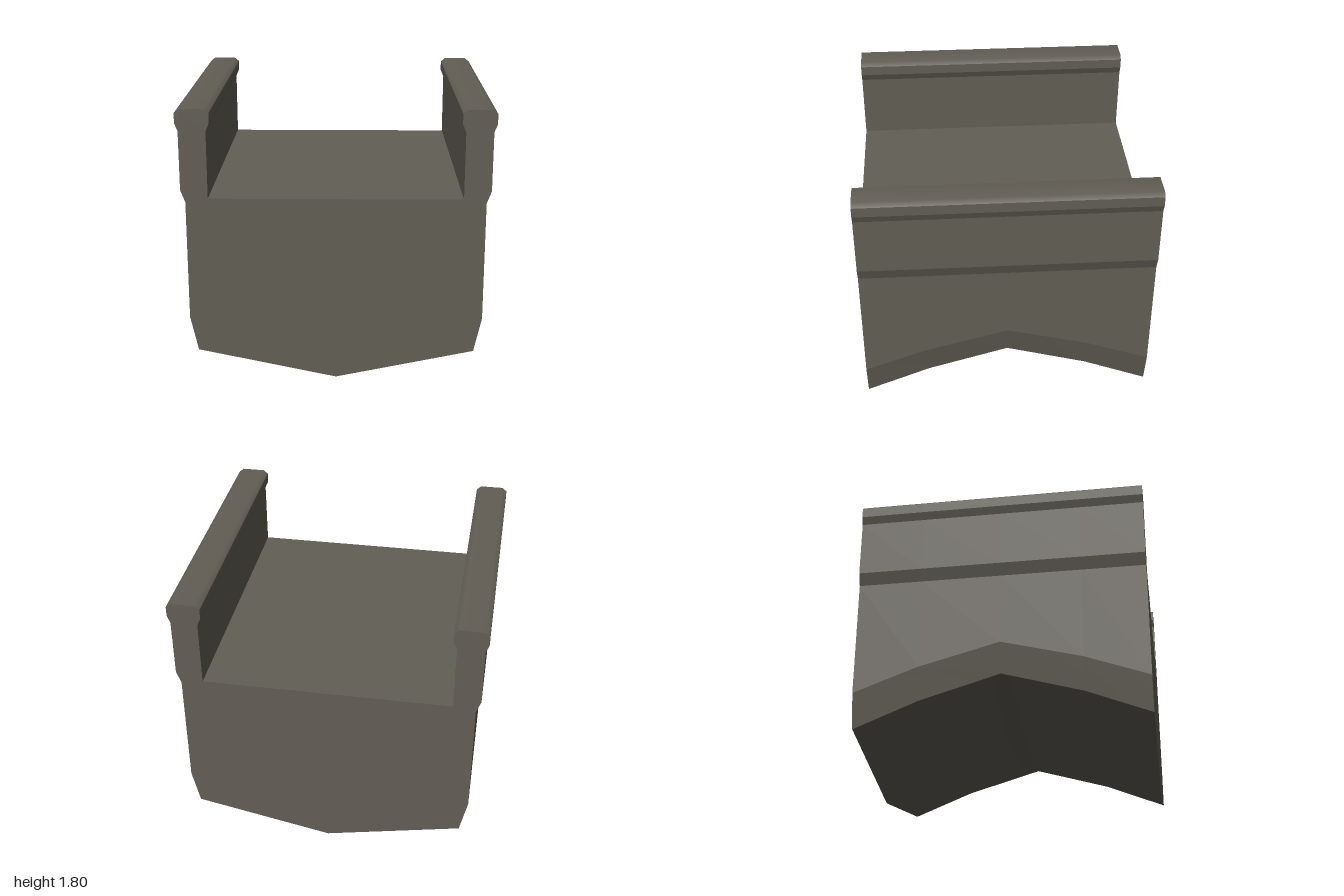
import * as THREE from 'three';

const stone = new THREE.MeshStandardMaterial({ color: 0x625e55 });
stone.name = 'weathered stone';

// Stations along the length: [z, rise of the arched underside]
const stations = [[0.95, 0], [0.53, 0.17], [0, 0.325], [-0.53, 0.17], [-0.95, 0]];

// Half cross-section from keel to deck: [x, y, share of the arch rise]
const half = [
  [0, 0, 1], [0.9, 0.19, 1], [0.95, 0.42, 0.91], [0.95, 1.2, 0], [0.98, 1.28, 0],
  [0.98, 1.66, 0], [1, 1.71, 0], [1, 1.775, 0], [0.97, 1.8, 0], [0.815, 1.8, 0],
  [0.785, 1.775, 0], [0.785, 1.71, 0], [0.807, 1.66, 0], [0.807, 1.225, 0],
];
const mirror = (pts) => pts.map(([x, y, r]) => [-x, y, r]).reverse();

// Sweep an open run of section points through all stations
function strip(pts) {
  const pos = [], idx = [], n = pts.length;
  for (const [z, rise] of stations)
    for (const [x, y, r] of pts) pos.push(x, y + r * rise, z);
  for (let s = 0; s < stations.length - 1; s++)
    for (let i = 0; i < n - 1; i++) {
      const a = s * n + i, b = a + n;
      idx.push(a, b, a + 1, a + 1, b, b + 1);
    }
  const g = new THREE.BufferGeometry();
  g.setAttribute('position', new THREE.Float32BufferAttribute(pos, 3));
  g.setIndex(idx);
  g.computeVertexNormals();
  return g;
}

export function createModel() {
  const model = new THREE.Group();
  model.name = 'bridgeSegment';
  const add = (name, geometry) => {
    const mesh = new THREE.Mesh(geometry, stone);
    mesh.name = name;
    model.add(mesh);
    return mesh;
  };

  // Faces of each side: [name, first point, last point]; the rail top is rounded
  const faces = [
    ['ArchUnderside', 0, 1], ['LowerSkirt', 1, 2], ['Wall', 2, 3], ['Ledge', 3, 4],
    ['ParapetOuter', 4, 5], ['RailOuterFlare', 5, 6], ['RailOuterSide', 6, 7],
    ['RailTop', 7, 10], ['RailInnerSide', 10, 11], ['RailInnerFlare', 11, 12],
    ['ParapetInner', 12, 13],
  ];
  for (const [name, from, to] of faces) {
    const pts = half.slice(from, to + 1);
    add('left' + name, strip(pts));
    add('right' + name, strip(mirror(pts)));
  }

  // Road deck between the parapets
  const edge = half[half.length - 1];
  add('deck', strip([edge, ...mirror([edge])]));

  // Flat end faces
  const outline = [...half, ...mirror(half.slice(1))].map(([x, y]) => new THREE.Vector2(x, y));
  const endGeometry = new THREE.ShapeGeometry(new THREE.Shape(outline));
  add('frontEnd', endGeometry).position.z = 0.95;
  const back = add('backEnd', endGeometry);
  back.position.z = -0.95;
  back.rotation.y = Math.PI;

  return model;
}
